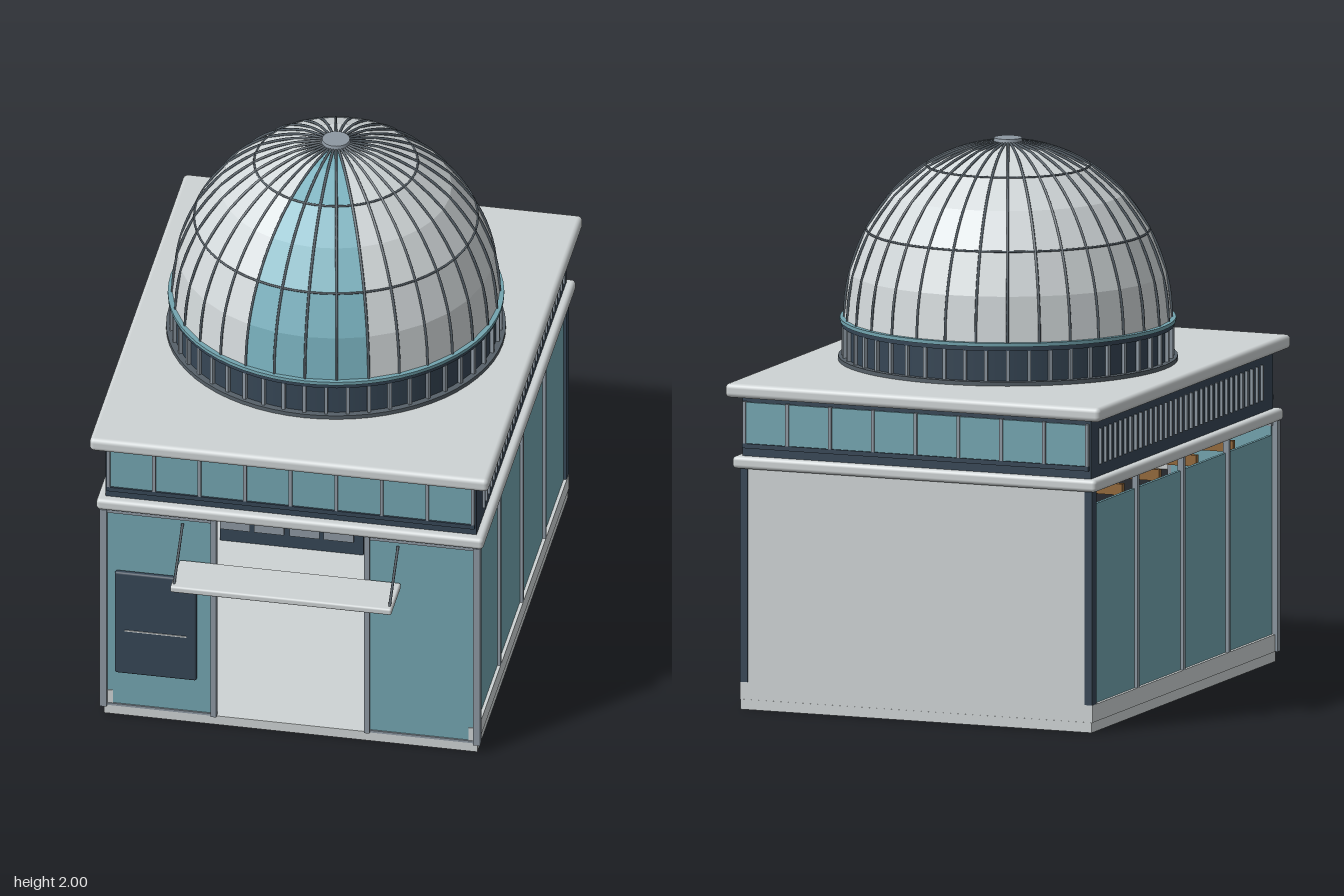
import * as THREE from 'three';
import { RoundedBoxGeometry } from 'three/addons/geometries/RoundedBoxGeometry.js';

const material = (name, color, side = THREE.FrontSide) => {
  const m = new THREE.MeshStandardMaterial({ color, side });
  m.name = name;
  return m;
};

export function createModel() {
  const concrete = material('pale concrete', 0xced3d4);
  const panel = material('dome panel', 0xd2d8da, THREE.DoubleSide);
  const glass = material('teal glass', 0x73a5b0);
  const shutter = material('dome shutter teal', 0x78b0bd, THREE.DoubleSide);
  const navy = material('dark slate', 0x364655);
  const metal = material('steel', 0x8d98a2);
  const ribGrey = material('rib grey', 0x566068);
  const wood = material('timber', 0x94693a);
  const cyan = material('screen cyan', 0x5cc0cc);

  const model = new THREE.Group();
  model.name = 'observatory';
  const CZ = -0.075; // centre of the building in z

  const add = (name, geometry, mat, x = 0, y = 0, z = 0, parent = model) => {
    const mesh = new THREE.Mesh(geometry, mat);
    mesh.name = name;
    mesh.position.set(x, y, z);
    parent.add(mesh);
    return mesh;
  };
  // box given by its limits on each axis
  const box = (name, mat, [x0, x1], [y0, y1], [z0, z1], parent = model) =>
    add(name, new THREE.BoxGeometry(x1 - x0, y1 - y0, z1 - z0), mat,
      (x0 + x1) / 2, (y0 + y1) / 2, (z0 + z1) / 2, parent);
  // box centred on a point in x and z
  const post = (name, mat, x, z, w, d, y0, y1, parent = model) =>
    box(name, mat, [x - w / 2, x + w / 2], [y0, y1], [z - d / 2, z + d / 2], parent);
  const slab = (name, w, y0, y1, d, r, z = CZ) =>
    add(name, new RoundedBoxGeometry(w, y1 - y0, d, 3, r), concrete, 0, (y0 + y1) / 2, z);

  // slabs: floor, ledge and roof
  box('floorSlab', concrete, [-0.685, 0.685], [0, 0.037], [-0.935, 0.785]);
  slab('ledge', 1.42, 0.88, 0.925, 1.765, 0.015);
  slab('roof', 1.464, 1.14, 1.192, 1.8, 0.018);

  // back wall with dark interior panel
  box('backWall', concrete, [-0.68, 0.68], [0.037, 0.88], [-0.934, -0.9]);
  box('backPanel', navy, [-0.45, 0.45], [0.33, 0.66], [-0.9, -0.88]);
  box('backPanelRail', metal, [-0.45, 0.45], [0.63, 0.636], [-0.88, -0.875]);
  for (const x of [-0.17, 0, 0.14])
    for (const y of [0.38, 0.5, 0.56]) post('panelFixing', metal, x, -0.878, 0.008, 0.006, y, y + 0.008);

  // side walls: sill, glazing, posts
  for (const s of [-1, 1]) {
    box('sideSill', concrete, [s * 0.67 - 0.018, s * 0.67 + 0.018], [0.037, 0.1], [-0.934, 0.785]);
    box('sideGlass', glass, [s * 0.67 - 0.006, s * 0.67 + 0.006], [0.1, 0.827], [-0.9, 0.775]);
    for (const z of [0.35, -0.075, -0.505]) post('sidePost', metal, s * 0.677, z, 0.022, 0.018, 0.1, 0.88);
    post('rearCornerPost', navy, s * 0.672, -0.915, 0.03, 0.042, 0.1, 0.88);
    post('frontCornerPost', metal, s * 0.685, 0.788, 0.026, 0.026, 0.037, 0.88);
    // front glazing and door jambs
    box('frontGlass', glass, [s * 0.48 - 0.195, s * 0.48 + 0.195], [0.045, 0.865], [0.765, 0.782]);
    post('doorJamb', metal, s * 0.281, 0.782, 0.02, 0.028, 0.037, 0.88);
    box('frontHead', metal, [s * 0.48 - 0.2, s * 0.48 + 0.2], [0.862, 0.88], [0.762, 0.788]);
    box('frontSill', metal, [s * 0.48 - 0.2, s * 0.48 + 0.2], [0.037, 0.046], [0.762, 0.788]);
  }

  // timber ceiling beams
  for (const z of [0.445, 0.1, -0.245, -0.59])
    post('ceilingBeam', wood, 0, z, 1.33, 0.022, 0.815, 0.856);

  // wall board beside the door
  add('wallBoard', new RoundedBoxGeometry(0.3, 0.432, 0.022, 2, 0.008), navy, -0.492, 0.405, 0.794);
  box('boardLine', concrete, [-0.605, -0.378], [0.373, 0.378], [0.804, 0.808]);

  // entrance canopy with slanted hangers
  const canopy = new THREE.Group();
  canopy.name = 'canopy';
  model.add(canopy);
  add('canopyPlate', new RoundedBoxGeometry(0.812, 0.026, 0.185, 2, 0.008), concrete, 0, 0.683, 0.8825, canopy);
  for (const s of [-1, 1]) {
    const line = new THREE.LineCurve3(new THREE.Vector3(s * 0.395, 0.69, 0.955), new THREE.Vector3(s * 0.395, 0.85, 0.79));
    add('canopyHanger', new THREE.TubeGeometry(line, 1, 0.005, 6), ribGrey, 0, 0, 0, canopy);
  }

  // counter with drawers and small equipment
  const counter = new THREE.Group();
  counter.name = 'counter';
  model.add(counter);
  box('counterBody', navy, [-0.48, 0.045], [0.037, 0.165], [-0.6, -0.36], counter);
  box('counterTop', wood, [-0.52, 0.08], [0.165, 0.183], [-0.63, -0.33], counter);
  for (const x of [-0.425, -0.3, -0.17, -0.045]) {
    post('drawer', metal, x, -0.357, 0.11, 0.008, 0.09, 0.15, counter);
    post('drawerHandle', navy, x, -0.35, 0.05, 0.008, 0.128, 0.134, counter);
  }
  box('screen', cyan, [-0.3, -0.245], [0.21, 0.285], [-0.4, -0.392], counter);
  post('screenStand', navy, -0.27, -0.41, 0.02, 0.02, 0.183, 0.25, counter);
  box('machineBase', navy, [-0.125, 0.035], [0.197, 0.212], [-0.55, -0.42], counter);
  box('machineTop', navy, [-0.13, 0.04], [0.34, 0.355], [-0.55, -0.42], counter);
  for (const x of [-0.12, 0.03])
    for (const z of [-0.54, -0.43]) post('machineLeg', metal, x, z, 0.01, 0.01, 0.183, 0.34, counter);
  add('cup', new THREE.CylinderGeometry(0.022, 0.032, 0.06, 16), concrete, -0.045, 0.242, -0.48, counter);

  // upper storey: dark core, windows front and back, louvres on the sides
  box('upperCore', navy, [-0.68, 0.68], [0.925, 1.14], [-0.93, 0.775]);
  for (const s of [-1, 1]) {
    const face = s > 0 ? 0.775 : -0.93;
    post('upperGlass', glass, 0, face + s * 0.003, 1.33, 0.008, 0.972, 1.122);
    post('windowSill', navy, 0, face + s * 0.006, 1.35, 0.016, 0.955, 0.972);
    for (let i = -4; i <= 4; i++)
      post('mullion', metal, i * 0.167, face + s * 0.006, 0.012, 0.016, 0.972, 1.125);
    for (let i = 0; i < 33; i++)
      post('louvre', metal, s * 0.683, 0.66 - i * 0.0472, 0.014, 0.01, 0.97, 1.1);
  }

  // dome on its louvred drum
  const dome = new THREE.Group();
  dome.name = 'dome';
  dome.position.z = CZ;
  model.add(dome);
  const ring = (name, r, y0, y1, mat) =>
    add(name, new THREE.CylinderGeometry(r, r, y1 - y0, 64), mat, 0, (y0 + y1) / 2, 0, dome);
  ring('drumFoot', 0.612, 1.19, 1.207, ribGrey);
  ring('drum', 0.588, 1.2, 1.325, navy);
  ring('drumCap', 0.6, 1.318, 1.334, navy);
  ring('drumTrim', 0.606, 1.334, 1.347, glass);
  for (let i = 0; i < 48; i++) {
    const a = (i / 48) * Math.PI * 2;
    const fin = add('drumFin', new THREE.BoxGeometry(0.012, 0.112, 0.016), metal,
      Math.sin(a) * 0.592, 1.262, Math.cos(a) * 0.592, dome);
    fin.rotation.y = a;
  }

  // faceted shell, with a teal shutter strip at the front
  const R = 0.59, H = 0.642, BASE = 1.345;
  const shell = (name, segments, start, length, mat) => {
    const g = new THREE.SphereGeometry(R, segments, 6, start, length, 0, Math.PI / 2);
    g.scale(1, H / R, 1);
    const flat = g.toNonIndexed();
    flat.computeVertexNormals();
    add(name, flat, mat, 0, BASE, 0, dome);
  };
  shell('domeShutter', 4, Math.PI * 3 / 8, Math.PI / 4, shutter);
  shell('domeShell', 28, Math.PI * 5 / 8, Math.PI * 7 / 4, panel);

  // meridian ribs and hoops
  const arc = [];
  for (let i = 0; i <= 12; i++) {
    const t = (i / 12) * 1.49;
    arc.push(new THREE.Vector3(0, Math.sin(t) * H, Math.cos(t) * R));
  }
  const ribGeometry = new THREE.TubeGeometry(new THREE.CatmullRomCurve3(arc), 24, 0.005, 6);
  for (let i = 0; i < 32; i++)
    add('domeRib', ribGeometry, ribGrey, 0, BASE, 0, dome).rotation.y = (i / 32) * Math.PI * 2;
  for (const t of [Math.PI / 6, Math.PI / 3]) {
    const hoop = add('domeHoop', new THREE.TorusGeometry(R * Math.cos(t), 0.004, 6, 64), ribGrey,
      0, BASE + H * Math.sin(t), 0, dome);
    hoop.rotation.x = Math.PI / 2;
  }
  add('domeCap', new THREE.CylinderGeometry(0.05, 0.055, 0.022, 24), metal, 0, 1.989, 0, dome);
  return model;
}
